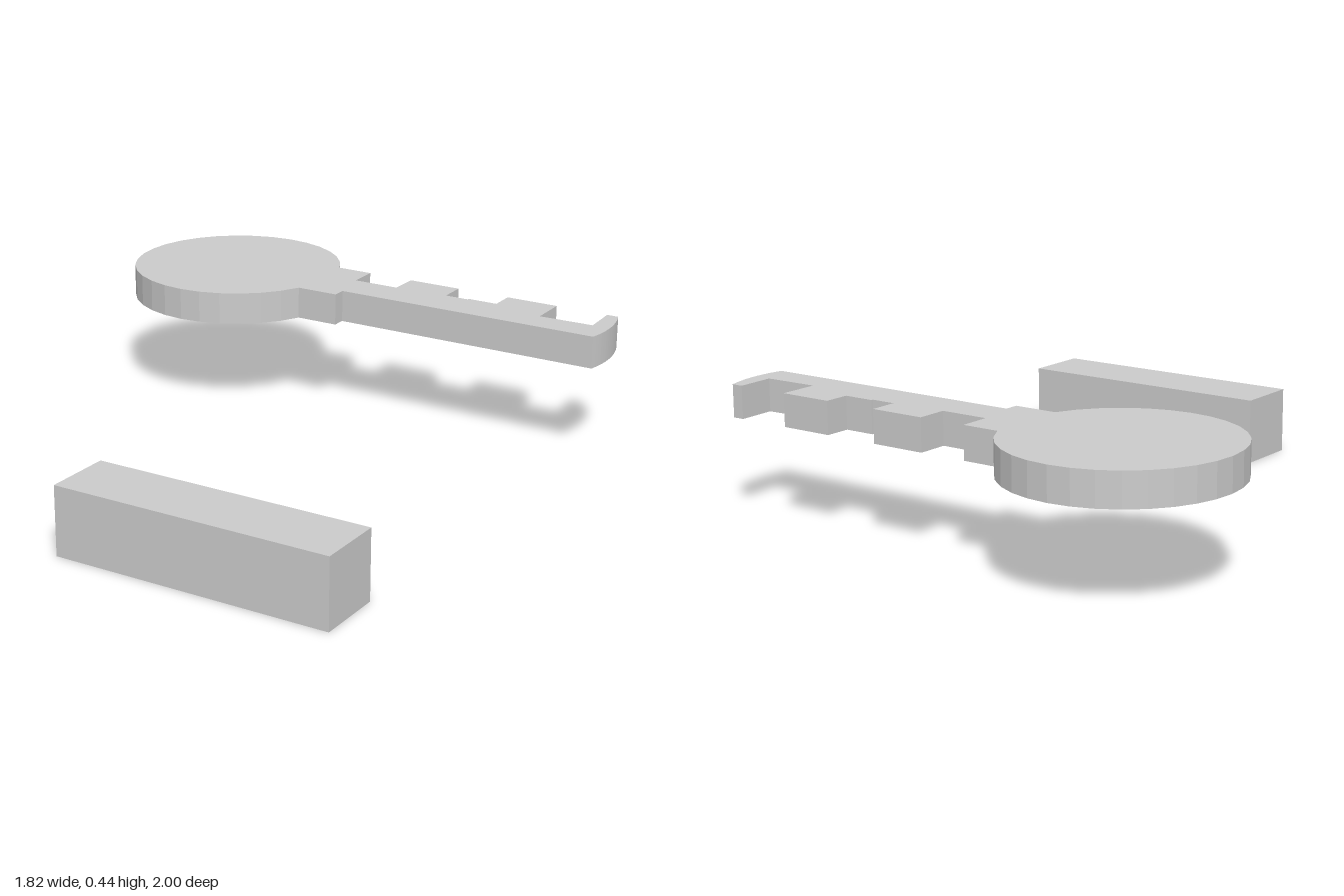
import * as THREE from 'three';

export function createModel() {
  const group = new THREE.Group();
  const material = new THREE.MeshStandardMaterial({ color: 0xcccccc, flatShading: true });

  // Key outline seen from above: x to the right, y towards the back (-z)
  const outline = new THREE.Shape();
  const teeth = [
    [-0.2, 0.775], [-0.07, 0.775], [-0.07, 0.67], [0.095, 0.67],
    [0.095, 0.775], [0.285, 0.775], [0.285, 0.68], [0.37, 0.68], [0.37, 0.687], [0.475, 0.687],
    [0.475, 0.775], [0.66, 0.775], [0.66, 0.64], [0.85, 0.645],
    [0.845, 0.775], [0.885, 0.775],
  ];
  teeth.forEach(([x, y], i) => (i ? outline.lineTo(x, y) : outline.moveTo(x, y)));

  // Rounded tip, straight spine and shoulder
  outline.quadraticCurveTo(0.928, 0.655, 0.9, 0.535);
  outline.lineTo(-0.045, 0.535);
  outline.lineTo(-0.045, 0.487);
  outline.lineTo(-0.2, 0.487);

  // Round bow
  outline.absarc(-0.54, 0.627, 0.373, -0.385, 0.408, true);

  const keyGeometry = new THREE.ExtrudeGeometry(outline, {
    depth: 0.11, bevelEnabled: false, curveSegments: 14,
  });
  keyGeometry.rotateX(-Math.PI / 2);
  const key = new THREE.Mesh(keyGeometry, material);
  key.name = 'key';
  key.position.y = 0.33;
  group.add(key);

  // Separate bar in front of the key
  const bar = new THREE.Mesh(new THREE.BoxGeometry(0.945, 0.23, 0.23), material);
  bar.name = 'bar';
  bar.position.set(0.343, 0.115, 0.885);
  group.add(bar);

  return group;
}
